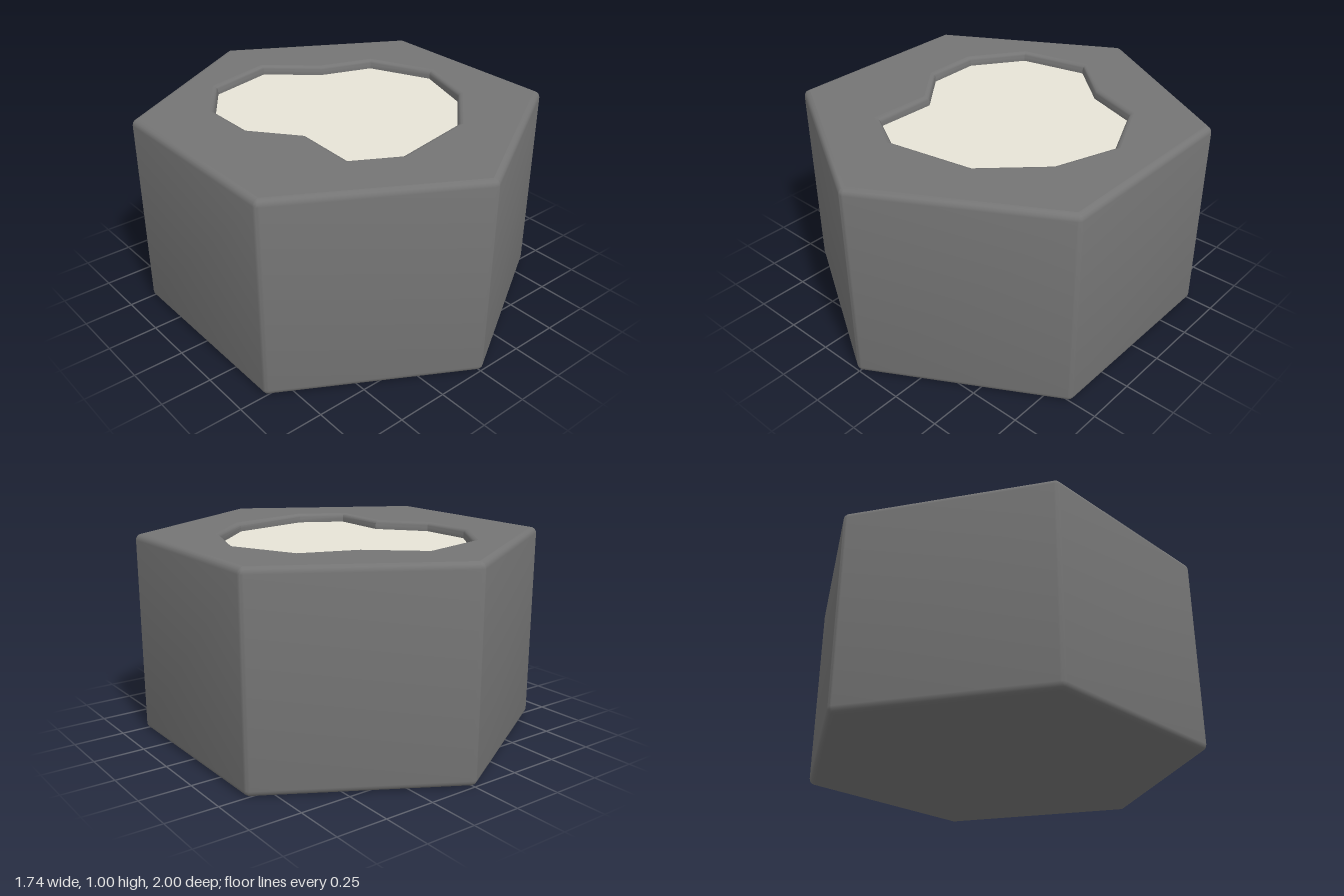
import * as THREE from 'three';
import { toCreasedNormals } from 'three/addons/utils/BufferGeometryUtils.js';

const TOP = 1.005;      // height of the block
const R = 0.03;         // rounding of the outer edges
const LIP = 0.025;      // rounding of the recess rim
const DEPTH = 0.045;    // depth of the recess
const STEPS = 4;        // segments per rounded edge

// Outline of the recess floor as [x, z].
const POCKET = [
  [0, -0.66], [0.23, -0.456], [0.497, -0.362], [0.638, -0.05],
  [0.533, 0.256], [0.28, 0.499], [-0.142, 0.574], [-0.35, 0.457],
  [-0.338, 0.146], [-0.512, -0.071], [-0.513, -0.34], [-0.338, -0.584],
];

// Hexagon with points on the z axis, grown by a rounded margin r.
function hexagon(r) {
  const points = [];
  for (let k = 0; k < 6; k++) {
    const mid = Math.PI / 6 + k * Math.PI / 3;
    for (let i = 0; i <= STEPS; i++) {
      const a = mid + (i / STEPS - 0.5) * Math.PI / 3;
      points.push([
        (1 - R) * Math.cos(mid) + r * Math.cos(a),
        (1 - R) * Math.sin(mid) + r * Math.sin(a),
      ]);
    }
  }
  return points;
}

// Moves every edge of a closed outline outward by w, with mitred corners.
function grow(points, w) {
  const n = points.length;
  const normal = (p, q) => new THREE.Vector2(q[1] - p[1], p[0] - q[0]).normalize();
  return points.map((p, i) => {
    const a = normal(points[(i + n - 1) % n], p);
    const b = normal(p, points[(i + 1) % n]);
    const s = w / (1 + a.dot(b));
    return [p[0] + (a.x + b.x) * s, p[1] + (a.y + b.y) * s];
  });
}

// Joins closed rings { points, y } into a surface.
function skin(rings) {
  const n = rings[0].points.length;
  const position = [], index = [];
  rings.forEach(({ points, y }, j) => {
    points.forEach(([x, z], k) => {
      position.push(x, y, z);
      if (j === rings.length - 1) return;
      const a = j * n + k, b = j * n + (k + 1) % n;
      index.push(a, a + n, b, b, a + n, b + n);
    });
  });
  const geometry = new THREE.BufferGeometry();
  geometry.setAttribute('position', new THREE.Float32BufferAttribute(position, 3));
  geometry.setIndex(index);
  return toCreasedNormals(geometry, 0.6);
}

// Flat horizontal face, optionally with a hole; side is 1 for up, -1 for down.
function cap(points, y, side, hole) {
  const flat = (list) => list.map(([x, z]) => new THREE.Vector2(x, -side * z));
  const shape = new THREE.Shape(flat(points));
  if (hole) shape.holes.push(new THREE.Path(flat(hole)));
  return new THREE.ShapeGeometry(shape).rotateX(-side * Math.PI / 2).translate(0, y, 0);
}

export function createModel() {
  const model = new THREE.Group();
  model.name = 'hexagonalBlock';
  const grey = new THREE.MeshStandardMaterial({ color: 0x757575 });
  const cream = new THREE.MeshStandardMaterial({ color: 0xe6e3d6 });
  const add = (name, geometry, material) => {
    const mesh = new THREE.Mesh(geometry, material);
    mesh.name = name;
    model.add(mesh);
  };

  // Six side walls with rounded bottom and top edges
  const lower = [], upper = [], rim = [];
  for (let i = 0; i <= STEPS; i++) {
    const t = i / STEPS * Math.PI / 2, s = Math.sin(t), c = Math.cos(t);
    lower.push({ points: hexagon(R * s), y: R - R * c });
    upper.push({ points: hexagon(R * c), y: TOP - R + R * s });
    rim.push({ points: grow(POCKET, LIP * (1 - s)), y: TOP - LIP + LIP * c });
  }
  add('sideWalls', skin([...lower, ...upper]), grey);
  add('bottomFace', cap(hexagon(0), 0, -1), grey);

  // Top face with the irregular recess
  add('topFace', cap(hexagon(0), TOP, 1, grow(POCKET, LIP)), grey);
  add('recessWall', skin([...rim, { points: POCKET, y: TOP - DEPTH }]), grey);
  add('recessFloor', cap(POCKET, TOP - DEPTH, 1), cream);

  return model;
}
